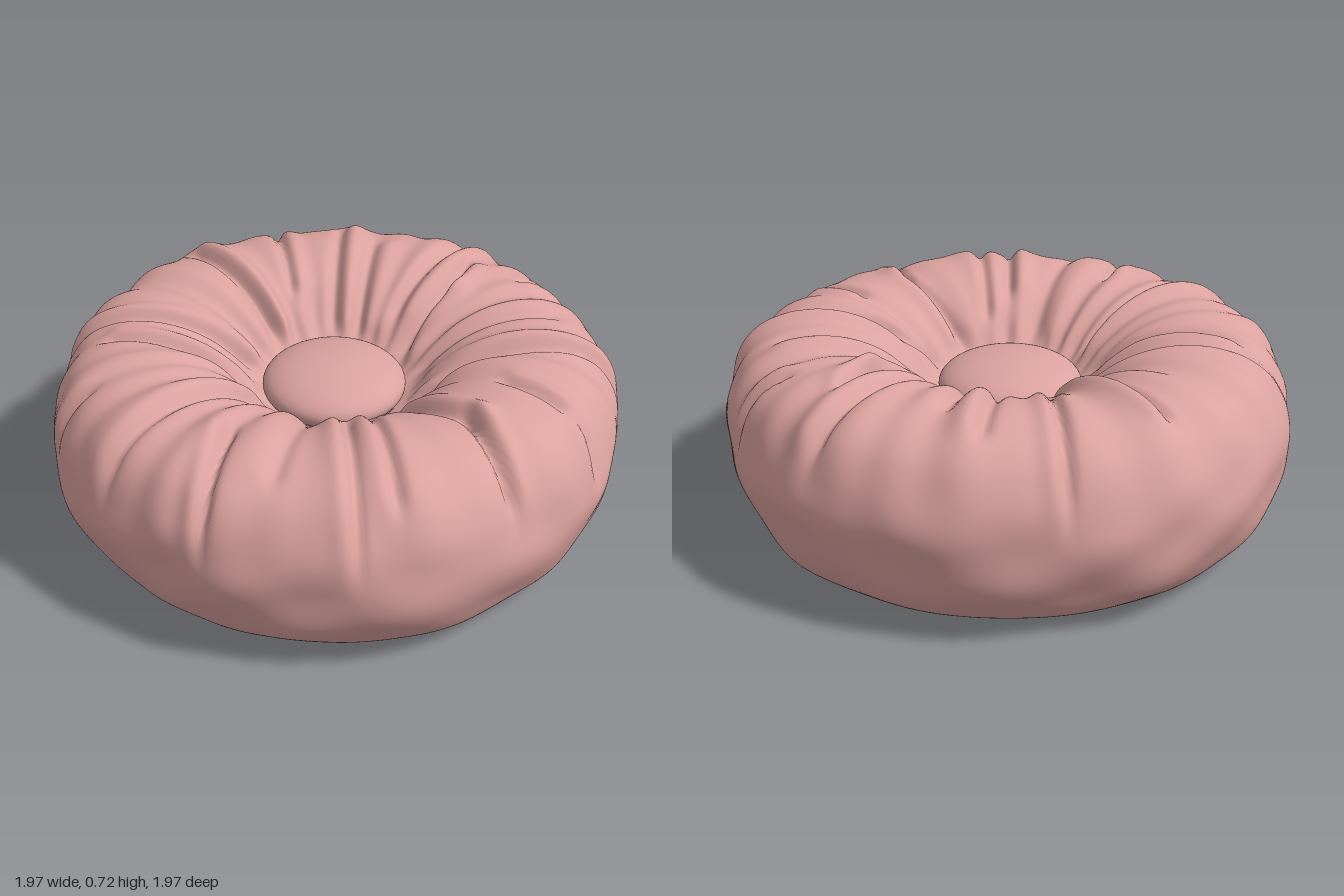
import * as THREE from 'three';
import { mergeVertices } from 'three/addons/utils/BufferGeometryUtils.js';

// cushion half-profile: radius, height
const PROFILE = [
  [0.74, 0], [0.82, 0.03], [0.9, 0.1], [0.955, 0.2], [0.98, 0.3], [0.983, 0.4],
  [0.955, 0.51], [0.89, 0.61], [0.8, 0.665], [0.68, 0.688], [0.56, 0.675],
  [0.45, 0.63], [0.36, 0.56], [0.3, 0.495], [0.265, 0.465], [0.22, 0.44],
];

// pinched folds seen from above: x0, z0, x1, z1, depth, width
const FOLDS = [
  [-0.2, -0.92, -0.14, -0.45, 0.03, 0.02],
  [-0.48, -0.62, -0.22, -0.29, 0.035, 0.02],
  [0.5, -0.46, 0.42, -0.33, 0.035, 0.02],
  [0.42, -0.33, 0.25, -0.17, 0.035, 0.022],
  [-0.92, -0.2, -0.3, -0.1, 0.03, 0.02],
  [-0.75, -0.04, -0.27, 0.06, 0.035, 0.02],
  [0.28, 0.13, 0.95, 0.1, 0.028, 0.02],
  [0.2, 0.3, 0.4, 0.52, 0.025, 0.02],
  [0.4, 0.52, 0.5, 0.77, 0.035, 0.02],
  [0.56, 0.33, 0.69, 0.42, 0.03, 0.018],
  [-0.45, 0.83, -0.36, 0.56, 0.035, 0.02],
  [0.14, 0.84, 0.09, 0.4, 0.028, 0.022],
  [0.06, -0.76, 0.01, -0.35, 0.028, 0.025],
  [0.56, -0.7, 0.25, -0.33, 0.028, 0.025],
  [-0.73, 0.56, -0.3, 0.22, 0.025, 0.022],
  [0.02, 0.97, 0.01, 0.5, 0.025, 0.02],
  [0.9, -0.39, 0.74, -0.37, 0.03, 0.018],
  [-0.22, 0.75, -0.1, 0.35, 0.02, 0.03],
  [-0.92, 0.25, -0.85, 0.24, 0.025, 0.018],
  [0.84, 0.56, 0.8, 0.5, 0.03, 0.02],
  [0.3, -0.06, 0.75, -0.1, 0.018, 0.025],
  [0.17, -0.62, 0.1, -0.33, 0.02, 0.025],
];

function foldOffset(x, z) {
  let sum = 0;
  for (const [x0, z0, x1, z1, depth, width] of FOLDS) {
    const dx = x1 - x0, dz = z1 - z0, len = Math.hypot(dx, dz);
    const along = ((x - x0) * dx + (z - z0) * dz) / len;
    const side = ((x - x0) * dz - (z - z0) * dx) / len;
    const past = Math.max(0, -along, along - len);
    const fade = Math.exp(-((past / 0.05) ** 2));
    // narrow valley with a puffed ridge on one side
    sum -= depth * fade * Math.exp(-((side / width) ** 2));
    sum += 0.55 * depth * fade * Math.exp(-(((side - 2.2 * width) / (1.8 * width)) ** 2));
  }
  return sum;
}

function cushionGeometry() {
  const curve = new THREE.CatmullRomCurve3(
    PROFILE.map(([r, y]) => new THREE.Vector3(r, y, 0)), false, 'centripetal');
  const points = curve.getSpacedPoints(120).map(p => new THREE.Vector2(p.x, Math.max(0, p.y)));
  let geometry = new THREE.LatheGeometry(points, 400);
  const pos = geometry.attributes.position, nor = geometry.attributes.normal;
  for (let i = 0; i < pos.count; i++) {
    const x = pos.getX(i), y = pos.getY(i), z = pos.getZ(i);
    const a = Math.atan2(z, x), r = Math.hypot(x, z);
    const upper = THREE.MathUtils.smoothstep(y, 0.33, 0.62);
    const inner = THREE.MathUtils.smoothstep(r, 0.25, 0.34);
    const dish = r < 0.62 ? 1 : upper;
    // soft radial gathers
    const gathers = 0.007 * Math.sin(17 * a + 2 * Math.sin(3 * a))
      + 0.005 * Math.sin(29 * a + 3 * Math.sin(2 * a + 1) + 2 * r);
    // slanting wrinkles around the sides
    const lower = THREE.MathUtils.smoothstep(y, 0.0, 0.12) * (1 - upper);
    const wrinkles = 0.005 * Math.sin(7 * a + 22 * y + 2 * Math.sin(3 * a))
      + 0.004 * Math.sin(13 * a - 15 * y);
    const lumps = 0.005 * Math.sin(5 * a + 0.7) + 0.004 * Math.sin(9 * a + 2);
    const d = dish * inner * (gathers + foldOffset(x, z))
      + lower * wrinkles + lumps * inner * Math.min(1, y / 0.15);
    pos.setXYZ(i, x + nor.getX(i) * d, Math.max(0, y + nor.getY(i) * d), z + nor.getZ(i) * d);
  }
  // weld the seam so shading runs smoothly around
  geometry.deleteAttribute('uv');
  geometry.deleteAttribute('normal');
  geometry = mergeVertices(geometry, 1e-5);
  geometry.computeVertexNormals();
  return geometry;
}

export function createModel() {
  const group = new THREE.Group();
  group.name = 'roundCushion';
  const fabric = new THREE.MeshStandardMaterial({ color: 0xdba29e });
  fabric.name = 'dusty pink fabric';

  const add = (name, geometry) => {
    const mesh = new THREE.Mesh(geometry, fabric);
    mesh.name = name;
    group.add(mesh);
    return mesh;
  };

  add('cushion', cushionGeometry());

  // flat underside
  add('base', new THREE.CircleGeometry(0.742, 96)).rotation.x = Math.PI / 2;

  // domed button sunk in the middle
  const button = add('button', new THREE.SphereGeometry(1, 64, 32));
  button.scale.set(0.25, 0.1, 0.25);
  button.position.set(-0.005, 0.485, -0.01);

  return group;
}
